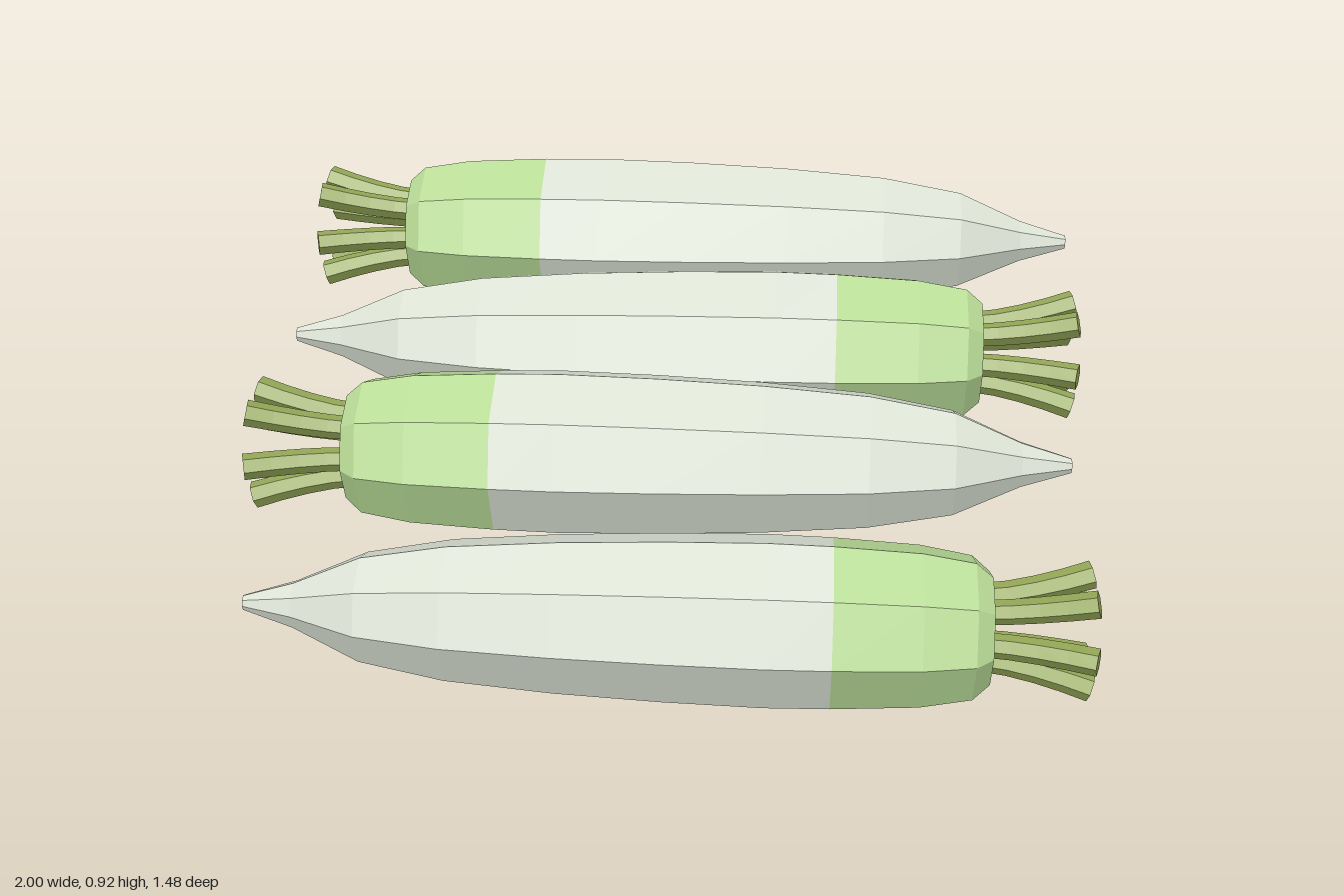
import * as THREE from 'three';

const skin = new THREE.MeshStandardMaterial({ color: 0xdbe2d4 });
skin.name = 'pale root skin';
const shoulder = new THREE.MeshStandardMaterial({ color: 0xb9dc97 });
shoulder.name = 'light green shoulder';
const stalk = new THREE.MeshStandardMaterial({ color: 0x94a857 });
stalk.name = 'olive stalk';

// Root profile as [x along the root, radius], from tip to crown
const rootProfile = [
  [-0.96, 0], [-0.96, 0.018], [-0.84, 0.056], [-0.68, 0.13], [-0.48, 0.167],
  [-0.23, 0.187], [0.02, 0.198], [0.25, 0.203], [0.4, 0.2],
];
const crownProfile = [
  [0.4, 0.2], [0.6, 0.189], [0.72, 0.168], [0.76, 0.132], [0.76, 0],
];

// Split the faces so every facet is flat
function faceted(geometry) {
  const flat = geometry.toNonIndexed();
  flat.computeVertexNormals();
  return flat;
}

// Eight-sided solid of revolution lying along x
function turned(profile) {
  const points = profile.map(([x, r]) => new THREE.Vector2(r, x));
  return faceted(new THREE.LatheGeometry(points, 8).rotateZ(-Math.PI / 2));
}

// Six-sided stalk along x that curves outward towards +z
function stalkGeometry() {
  const length = 0.26;
  const g = new THREE.CylinderGeometry(0.031, 0.028, length, 6, 4);
  g.rotateZ(-Math.PI / 2);
  const p = g.attributes.position;
  for (let i = 0; i < p.count; i++) {
    const t = p.getX(i) / length + 0.5;
    const outward = 0.072 + 0.056 * Math.pow(t, 1.5);
    // Lean the end cut with the curve
    const lean = -p.getZ(i) * 0.3 * t;
    p.setXYZ(i, 0.735 + t * (length - 0.005) + lean, p.getY(i), p.getZ(i) + outward);
  }
  return faceted(g);
}

const rootShape = turned(rootProfile);
const crownShape = turned(crownProfile);
const stalkShape = stalkGeometry();

function part(name, geometry, material) {
  const mesh = new THREE.Mesh(geometry, material);
  mesh.name = name;
  return mesh;
}

function radish() {
  const group = new THREE.Group();
  group.add(part('root', rootShape, skin), part('crown', crownShape, shoulder));
  // Ring of cut leaf stalks
  for (let i = 0; i < 6; i++) {
    const mesh = part('leafStalk', stalkShape, stalk);
    mesh.rotation.x = (i * Math.PI) / 3;
    group.add(mesh);
  }
  return group;
}

export function createModel() {
  const model = new THREE.Group();
  model.name = 'radishes';
  // Stepped row with alternating direction: x, y, z, reversed
  const row = [
    [0, 0.208, 0.535, false],
    [0, 0.452, 0.2, true],
    [0, 0.575, -0.156, false],
    [0.04, 0.722, -0.535, true],
  ];
  row.forEach(([x, y, z, reversed], i) => {
    const r = radish();
    r.name = 'radish' + (i + 1);
    r.position.set(x, y, z);
    if (reversed) r.rotation.y = Math.PI;
    model.add(r);
  });
  return model;
}
